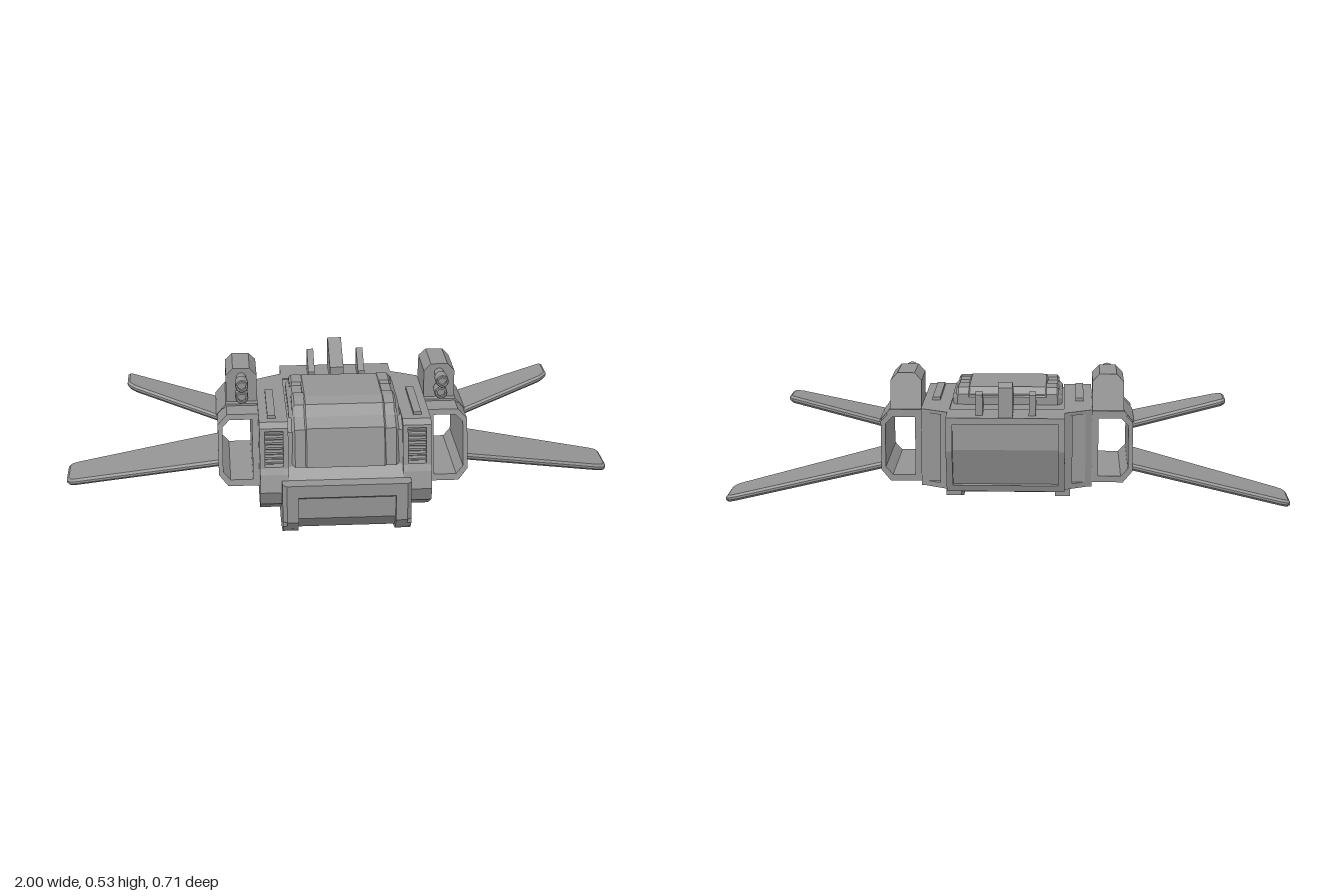
import * as THREE from 'three';

const mat = new THREE.MeshStandardMaterial({ color: 0x949494, flatShading: true, side: THREE.DoubleSide });
const toShape = (pts) => new THREE.Shape(pts.map(([a, b]) => new THREE.Vector2(a, b)));
const SIDES = [1, -1];

function extrude(shape, depth, bevel = 0) {
  return new THREE.ExtrudeGeometry(shape, {
    depth: depth - 2 * bevel, bevelEnabled: bevel > 0, bevelThickness: bevel,
    bevelSize: bevel, bevelOffset: -bevel, bevelSegments: 1,
  }).translate(0, 0, bevel);
}

// Move every vertex by a rule, then refresh the flat normals
function warp(geo, rule) {
  const p = geo.attributes.position;
  const v = new THREE.Vector3();
  for (let i = 0; i < p.count; i++) {
    rule(v.fromBufferAttribute(p, i));
    p.setXYZ(i, v.x, v.y, v.z);
  }
  geo.computeVertexNormals();
  return geo;
}

export function createModel() {
  const root = new THREE.Group();
  const add = (name, geo) => {
    const m = new THREE.Mesh(geo, mat);
    m.name = name;
    root.add(m);
  };
  // Side profile given as [z, y], spanning xa to xb
  const slab = (name, pts, xa, xb, bevel = 0) => {
    const lo = Math.min(xa, xb), hi = Math.max(xa, xb);
    add(name, extrude(toShape(pts), hi - lo, bevel).rotateY(-Math.PI / 2).translate(hi, 0, 0));
  };
  // Plan given as [x, z], spanning ya to yb
  const plan = (name, pts, ya, yb) =>
    add(name, extrude(toShape(pts), yb - ya).rotateX(Math.PI / 2).translate(0, yb, 0));
  const box = (name, x, y, z, w, h, d) =>
    add(name, new THREE.BoxGeometry(w, h, d).translate(x, y, z));

  // Hull: recessed core between two cheek columns
  slab('hullCore', [[-0.205, 0.403], [0.2, 0.403], [0.25, 0.37], [0.27, 0.25], [0.3, 0.21],
    [0.305, 0.17], [0.28, 0.12], [0.19, 0.07], [-0.205, 0.135]], -0.21, 0.21);
  const cheek = [[-0.205, 0.407], [0.24, 0.407], [0.26, 0.39], [0.285, 0.25], [0.295, 0.23], [0.311, 0.17],
    [0.29, 0.12], [0.19, 0.065], [-0.205, 0.13]];
  const vented = [[-0.205, 0.407], [0.24, 0.407], [0.26, 0.39], [0.262, 0.38], [0.235, 0.375], [0.255, 0.255],
    [0.284, 0.255], [0.295, 0.23], [0.311, 0.17], [0.29, 0.12], [0.19, 0.065], [-0.205, 0.13]];
  for (const s of SIDES) {
    slab('cheekInner', cheek, s * 0.2, s * 0.218);
    slab('cheekVent', vented, s * 0.218, s * 0.282);
    slab('cheekOuter', cheek, s * 0.282, s * 0.3);
    for (let i = 0; i < 7; i++) {
      const y = 0.268 + i * 0.017;
      box('ventSlat', s * 0.25, y, 0.28 - (y - 0.255) * 0.18 - 0.014, 0.066, 0.007, 0.025);
    }
    // Deck rails on top of the cheeks
    box('deckRail', s * 0.256, 0.407, 0.072, 0.028, 0.022, 0.265);
  }

  // Canopy: chamfered frame, raised glazing and side frame pieces
  slab('canopyFrame', [[-0.11, 0.39], [-0.11, 0.43], [-0.09, 0.45], [0.13, 0.45], [0.175, 0.436],
    [0.205, 0.41], [0.255, 0.38], [0.28, 0.25], [0.2, 0.25], [0.15, 0.39]], -0.195, 0.195, 0.018);
  slab('canopyGlass', [[-0.105, 0.4], [-0.105, 0.44], [-0.085, 0.463], [0.145, 0.464], [0.19, 0.45],
    [0.212, 0.412], [0.257, 0.385], [0.285, 0.25], [0.2, 0.25], [0.15, 0.39]], -0.142, 0.142, 0.006);
  for (const s of SIDES) {
    slab('canopyRearFrame', [[-0.11, 0.42], [-0.11, 0.44], [-0.09, 0.462], [-0.01, 0.462], [0.005, 0.42]],
      s * 0.13, s * 0.183, 0.008);
    slab('canopyFrontFrame', [[0.09, 0.42], [0.1, 0.462], [0.14, 0.462], [0.185, 0.447], [0.207, 0.41]],
      s * 0.13, s * 0.183, 0.008);
  }

  // Chin: recessed middle between two side rails, with a bar across the top
  slab('chinCore', [[0.32, 0.2], [0.335, 0.16], [0.335, 0.08], [0.3, 0.035], [0.2, 0.015],
    [0.13, 0.018], [-0.025, 0.06], [-0.025, 0.12], [0.2, 0.2]], -0.18, 0.18);
  slab('chinTopBar', [[0.25, 0.21], [0.353, 0.21], [0.353, 0.165], [0.335, 0.155], [0.25, 0.155]], -0.18, 0.18);
  for (const s of SIDES) {
    slab('chinRail', [[0.34, 0.21], [0.34, 0.055], [0.33, 0.04], [0.305, 0.022], [0.2, 0],
      [0.13, 0.003], [-0.04, 0.05], [-0.04, 0.12], [0.2, 0.21]], s * 0.17, s * 0.225);
    plan('chinRailFront', [[0.17, 0.335], [0.225, 0.34], [0.21, 0.354], [0.17, 0.354]].map(([x, z]) => [s * x, z]),
      0.073, 0.21);
    slab('chinRailLip', [[0.354, 0.073], [0.34, 0.052], [0.34, 0.073]], s * 0.17, s * 0.21);
  }

  // Rear taper with a deep slot in each angled face
  const mirrorPlan = (half) => [...half, ...half.map(([x, z]) => [-x, z]).reverse()];
  const taper = mirrorPlan([[0.3, -0.204], [0.205, -0.26]]);
  const slotted = mirrorPlan([[0.3, -0.204], [0.277, -0.2175], [0.21, -0.2175], [0.21, -0.245],
    [0.231, -0.245], [0.205, -0.26]]);
  plan('taperBottom', taper, 0.132, 0.15);
  plan('taperMiddle', slotted, 0.15, 0.395);
  plan('taperTop', taper, 0.395, 0.407);

  // Tail: framed exhaust with a recessed panel
  for (const s of SIDES) {
    slab('tailSide', [[-0.25, 0.407], [-0.35, 0.407], [-0.353, 0.29], [-0.3, 0.135], [-0.25, 0.133]],
      s * 0.183, s * 0.205);
  }
  slab('tailPanel', [[-0.25, 0.403], [-0.325, 0.403], [-0.33, 0.29], [-0.278, 0.14], [-0.25, 0.135]], -0.19, 0.19);
  slab('tailTop', [[-0.25, 0.407], [-0.35, 0.407], [-0.351, 0.385], [-0.25, 0.385]], -0.19, 0.19);
  slab('tailBottom', [[-0.25, 0.133], [-0.3, 0.135], [-0.308, 0.158], [-0.25, 0.158]], -0.19, 0.19);

  // Tail fins
  slab('centreFin', [[-0.18, 0.4], [-0.18, 0.455], [-0.315, 0.526], [-0.34, 0.511], [-0.345, 0.4]], -0.025, 0.025);
  for (const s of SIDES) {
    slab('sideFin', [[-0.2, 0.4], [-0.2, 0.432], [-0.295, 0.49], [-0.31, 0.48], [-0.31, 0.4]], s * 0.08, s * 0.104);
  }

  for (const s of SIDES) {
    // Open side duct with a raked front
    const duct = toShape([[0.295, 0.145], [0.41, 0.145], [0.443, 0.185], [0.443, 0.36], [0.41, 0.395],
      [0.295, 0.395]].map(([x, y]) => [s * x, y]));
    duct.holes.push(new THREE.Path([[0.322, 0.167], [0.402, 0.167], [0.427, 0.195], [0.427, 0.35],
      [0.402, 0.376], [0.322, 0.376]].map(([x, y]) => new THREE.Vector2(s * x, y))));
    add('sideDuct', warp(extrude(duct, 1), (v) => {
      v.z = v.z > 0.5 ? 0.18 - (v.y - 0.145) * 0.22 : -0.2;
    }));
    // Chamfered plate over the duct roof
    const plate = toShape([[0.3, 0.385], [0.425, 0.385], [0.447, 0.36], [0.447, 0.362], [0.412, 0.402],
      [0.3, 0.402]].map(([x, y]) => [s * x, y]));
    add('ductTopPlate', extrude(plate, 0.237).translate(0, 0, -0.2));

    // Gun mount with chamfered top and sloping back
    const mount = toShape([[0.3, 0.395], [0.41, 0.395], [0.41, 0.5], [0.385, 0.526], [0.325, 0.526],
      [0.3, 0.5]].map(([x, y]) => [s * x, y]));
    add('gunMount', warp(extrude(mount, 1), (v) => {
      v.z = v.z > 0.5 ? 0.01 : -0.16 - (0.526 - v.y) * 0.23;
    }));
    // Twin guns: thin barrel and thicker hollow muzzle
    for (const [y, tip] of [[0.492, 0.108], [0.439, 0.078]]) {
      const barrel = new THREE.CylinderGeometry(0.018, 0.018, tip - 0.012, 12).rotateX(Math.PI / 2);
      add('gunBarrel', barrel.translate(s * 0.355, y, (tip - 0.012) / 2));
      const ring = [[0.014, -0.025], [0.023, -0.025], [0.023, 0.022], [0.02, 0.025], [0.014, 0.025], [0.014, -0.025]];
      const muzzle = new THREE.LatheGeometry(ring.map(([r, h]) => new THREE.Vector2(r, h)), 12).rotateX(Math.PI / 2);
      add('gunMuzzle', muzzle.translate(s * 0.355, y, tip - 0.025));
    }

    // Wings: bevelled planforms sheared up or down along the span
    const wing = (name, pts, y0, slope) => {
      const geo = extrude(toShape(pts.map(([x, z]) => [s * x, z])), 0.024, 0.008).rotateX(Math.PI / 2);
      add(name, warp(geo, (v) => { v.y += 0.012 + y0 + slope * (Math.abs(v.x) - 0.43); }));
    };
    wing('lowerWing', [[0.43, 0.098], [0.45, 0.092], [0.965, -0.042], [0.99, -0.055], [1, -0.08], [1, -0.205],
      [0.99, -0.22], [0.965, -0.224], [0.43, -0.19]], 0.199, -0.22);
    wing('upperWing', [[0.43, 0.03], [0.45, 0.028], [0.735, -0.065], [0.757, -0.085], [0.763, -0.1],
      [0.763, -0.19], [0.75, -0.2], [0.43, -0.175]], 0.343, 0.285);
  }
  return root;
}
